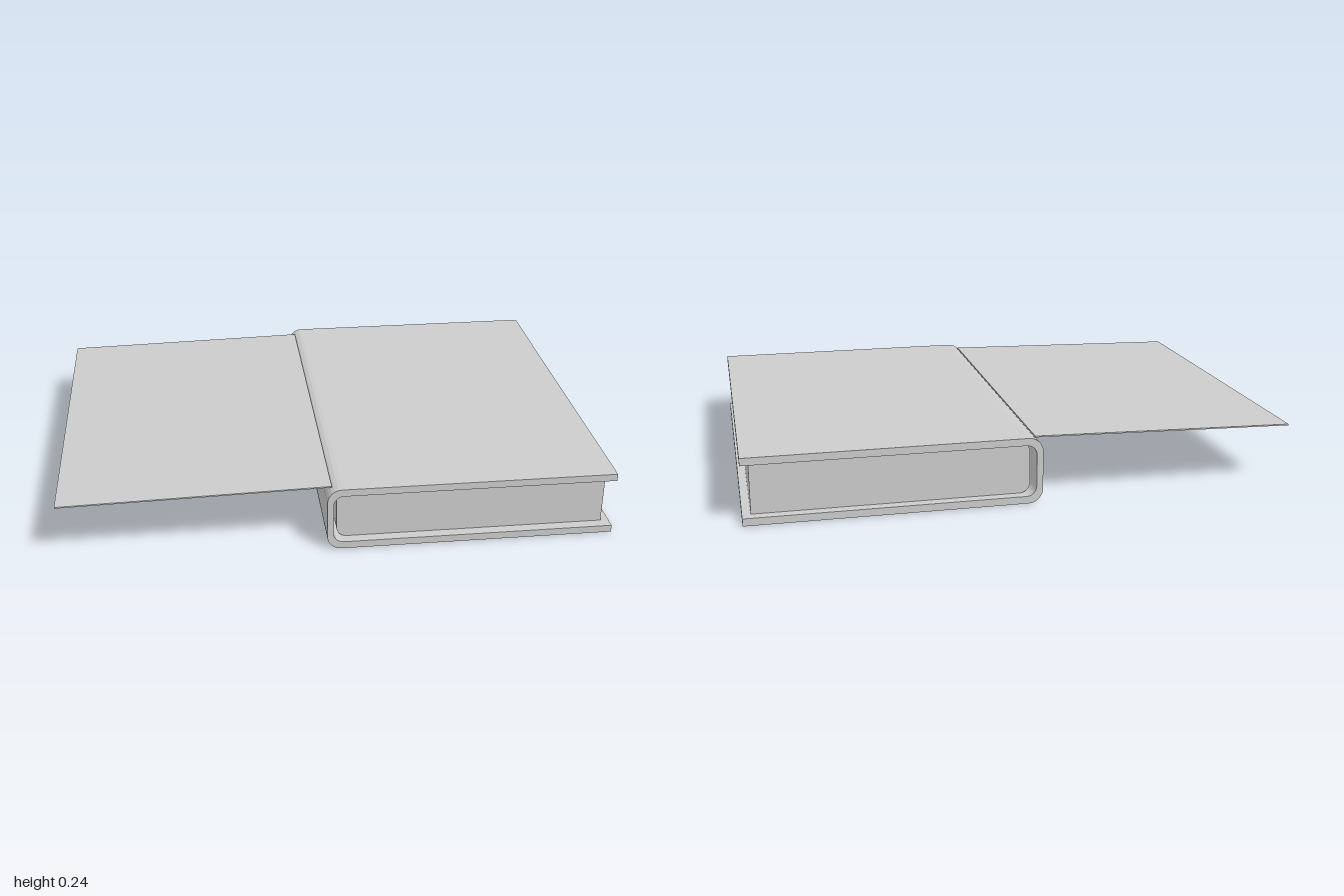
import * as THREE from 'three';

const TOP = 0.242, BOARD = 0.027;

// Traces a spine-side outline: bottom right, round both left corners, top right
function spinePath(x0, x1, y0, y1, r) {
  const pts = [new THREE.Vector2(x1, y0)];
  const steps = 6;
  for (const [cy, start] of [[y0 + r, -Math.PI / 2], [y1 - r, -Math.PI]]) {
    for (let i = 0; i <= steps; i++) {
      const a = start - (i / steps) * Math.PI / 2;
      pts.push(new THREE.Vector2(x0 + r + r * Math.cos(a), cy + r * Math.sin(a)));
    }
  }
  pts.push(new THREE.Vector2(x1, y1));
  return pts;
}

function slab(name, points, depth, material) {
  const geo = new THREE.ExtrudeGeometry(new THREE.Shape(points), { depth, bevelEnabled: false });
  geo.translate(0, 0, -depth / 2);
  const mesh = new THREE.Mesh(geo, material);
  mesh.name = name;
  return mesh;
}

export function createModel() {
  const model = new THREE.Group();
  model.name = 'book';
  const grey = new THREE.MeshStandardMaterial({ color: 0xcccccc, flatShading: true });
  grey.name = 'plain grey';

  // Wrapped cover: front board, rounded spine and back board in one piece
  const outer = spinePath(-0.05, 1, 0, TOP, 0.052);
  const inner = spinePath(-0.027, 1, BOARD, TOP - BOARD, 0.036);
  model.add(slab('cover', [...outer, ...inner.reverse()], 1.45, grey));

  // Page block, set in from the cover edges with a gap behind the spine
  model.add(slab('pageBlock', spinePath(-0.012, 0.97, BOARD, TOP - BOARD, 0.036), 1.37, grey));

  // Thin sheet reaching out sideways from the top of the spine
  const sheet = [[-1, 0.21], [-0.03, 0.231], [-0.03, 0.236], [-1, 0.215]]
    .map(([x, y]) => new THREE.Vector2(x, y));
  model.add(slab('sheet', sheet, 1.37, grey));

  return model;
}
